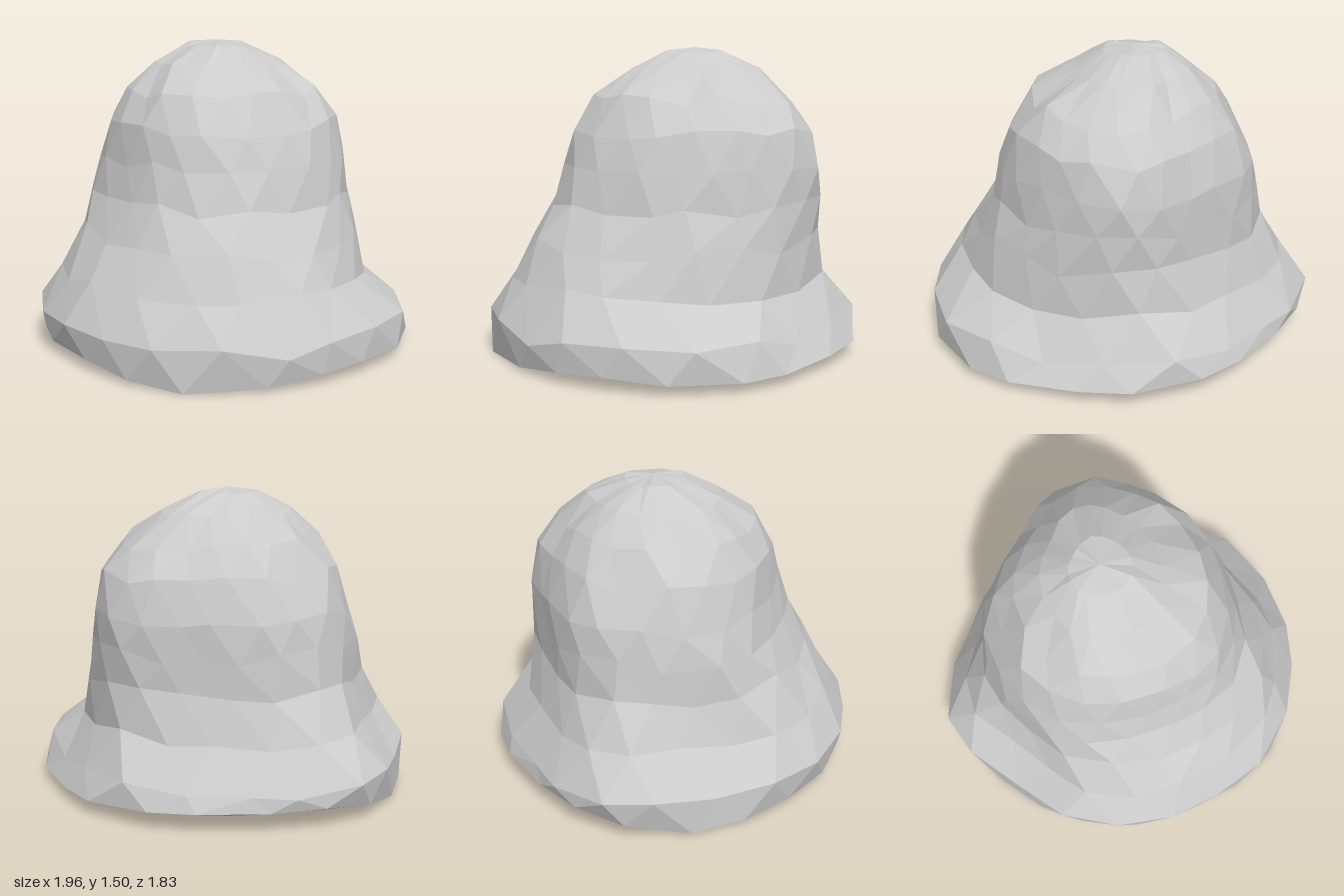
import * as THREE from 'three';

const SIDES = 20;

// Horizontal cross-sections, bottom to top: y, x min, x max, z min, z max
const RINGS = [
  [0.03, -0.74, 0.72, -0.68, 0.7],
  [0, -0.97, 0.97, -0.91, 0.92],
  [0.2, -1.0, 0.97, -0.85, 0.94],
  [0.4, -0.88, 0.84, -0.73, 0.82],
  [0.6, -0.75, 0.76, -0.71, 0.69],
  [0.78, -0.7, 0.64, -0.72, 0.6],
  [0.95, -0.67, 0.59, -0.72, 0.55],
  [1.12, -0.59, 0.53, -0.68, 0.51],
  [1.27, -0.49, 0.42, -0.58, 0.43],
  [1.41, -0.36, 0.21, -0.4, 0.28],
  [1.5, -0.23, 0.07, -0.19, 0.1],
];

// Around the foot, from +x towards +z: width factor and height of the rim edge
const FOOT = [1, 0.99, 1.01, 1.03, 0.99, 1, 0.985, 0.97, 0.94, 0.975,
  1, 0.94, 0.915, 0.95, 1.02, 0.98, 0.97, 1.02, 1.05, 1.01];
const RIM = [0.09, 0.05, 0.02, 0.02, 0.06, 0.09, 0.07, 0.07, 0.01, 0.05,
  0.13, 0.12, 0.11, 0.12, 0.09, 0.09, 0.07, 0.07, 0.06, 0.08];

// Diagonal bulge of the dome per quadrant (+x+z, -x+z, -x-z, +x-z)
const DOME = [1.08, 1.06, 0.88, 0.93];

// Hollows above the foot: angle in degrees, y, depth
const DENTS = [[145, 0.43, 0.14], [335, 0.5, 0.06]];

function seeded(seed) {
  return () => {
    seed = (seed * 16807) % 2147483647;
    return seed / 2147483647 - 0.5;
  };
}

// Reads a table of values around the circle at a fractional step
function around(table, step) {
  const s = (step + SIDES) % SIDES;
  const j = Math.floor(s);
  return THREE.MathUtils.lerp(table[j], table[(j + 1) % SIDES], s - j);
}

function dentAt(a, y) {
  return DENTS.reduce((sum, [deg, dy, depth]) => {
    const d = a - THREE.MathUtils.degToRad(deg);
    const turn = Math.atan2(Math.sin(d), Math.cos(d));
    return sum + depth * Math.exp(-((turn / 0.45) ** 2) - ((y - dy) / 0.2) ** 2);
  }, 0);
}

function rockGeometry() {
  const rand = seeded(417);
  const pos = [];
  const index = [];

  RINGS.forEach(([y, x0, x1, z0, z1], i) => {
    const t = THREE.MathUtils.clamp((y - 0.2) / 0.6, 0, 1);
    const cx = (x0 + x1) / 2, cz = (z0 + z1) / 2;
    for (let j = 0; j < SIDES; j++) {
      // Alternate rings are turned half a step so the facets interlock
      const step = j + (i % 2) * 0.5 + rand() * 0.3;
      const a = (step / SIDES) * Math.PI * 2;
      const quadrant = Math.floor(a / (Math.PI / 2) + 4) % 4;
      const dome = 1 + (DOME[quadrant] - 1) * Math.sin(2 * a) ** 2;
      const r = THREE.MathUtils.lerp(around(FOOT, step), dome, t) - dentAt(a, y) + rand() * 0.02;
      let h = y + rand() * 0.02;
      if (i === 1) h = around(RIM, step);
      else if (i > 1 && i < 9) h = y + rand() * 0.07;
      pos.push(cx + Math.cos(a) * r * (x1 - x0) / 2, h, cz + Math.sin(a) * r * (z1 - z0) / 2);
    }
  });

  // Underside and sides, split along alternating diagonals
  for (let i = 0; i < RINGS.length - 1; i++) {
    for (let j = 0; j < SIDES; j++) {
      const k = (j + 1) % SIDES;
      const a = i * SIDES + j, b = i * SIDES + k;
      const c = a + SIDES, d = b + SIDES;
      if (i % 2) index.push(a, d, b, a, c, d);
      else index.push(a, c, b, b, c, d);
    }
  }

  // Crown and middle of the underside
  const crown = pos.length / 3, under = crown + 1;
  pos.push(-0.08, 1.52, -0.04, 0, 0.04, 0);
  const last = (RINGS.length - 1) * SIDES;
  for (let j = 0; j < SIDES; j++) {
    const k = (j + 1) % SIDES;
    index.push(last + j, crown, last + k, j, k, under);
  }

  const geometry = new THREE.BufferGeometry();
  geometry.setAttribute('position', new THREE.Float32BufferAttribute(pos, 3));
  geometry.setIndex(index);
  geometry.computeVertexNormals();
  return geometry;
}

export function createModel() {
  const group = new THREE.Group();
  group.name = 'rock';
  const material = new THREE.MeshStandardMaterial({ color: 0xcccccc, flatShading: true });
  const boulder = new THREE.Mesh(rockGeometry(), material);
  boulder.name = 'boulder';
  group.add(boulder);
  return group;
}
